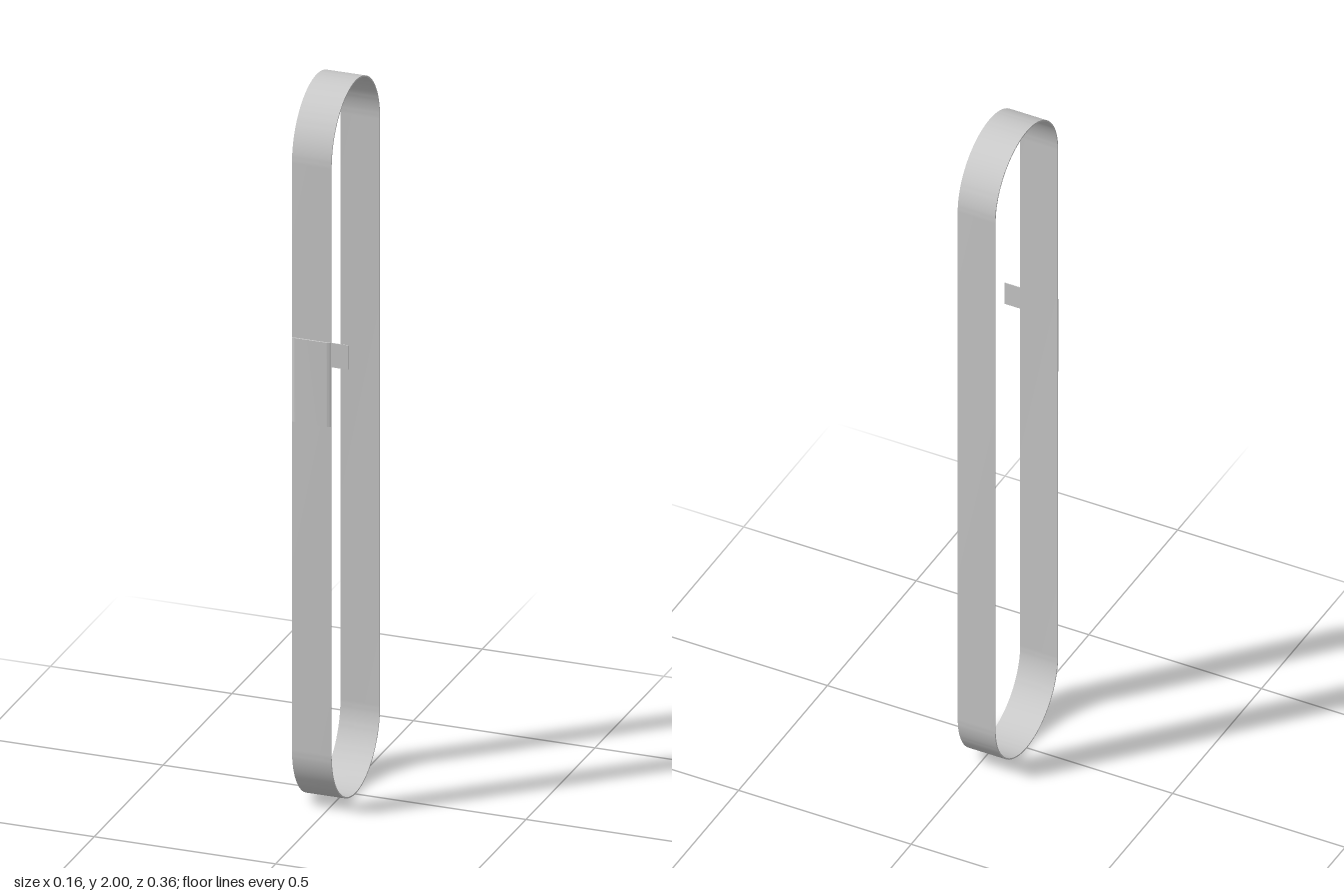
import * as THREE from 'three';
import { toCreasedNormals } from 'three/addons/utils/BufferGeometryUtils.js';

const LEFT = 0.03, WIDTH = 0.108, RADIUS = 0.178, BAND = 0.004;

// Upright stadium outline: two half circles joined by straight sides
function stadium(path, r) {
  path.absarc(0, 2 - RADIUS, r, 0, Math.PI, false);
  path.absarc(0, RADIUS, r, Math.PI, Math.PI * 2, false);
  path.closePath();
  return path;
}

export function createModel() {
  const group = new THREE.Group();
  const material = new THREE.MeshStandardMaterial({ color: 0xcccccc, side: THREE.DoubleSide });
  const add = (name, geometry) => {
    const mesh = new THREE.Mesh(geometry, material);
    mesh.name = name;
    group.add(mesh);
    return mesh;
  };

  // Thin closed band, extruded across its width
  const outline = stadium(new THREE.Shape(), RADIUS);
  outline.holes.push(stadium(new THREE.Path(), RADIUS - BAND));
  const band = new THREE.ExtrudeGeometry(outline, { depth: WIDTH, bevelEnabled: false, curveSegments: 32 });
  band.rotateY(-Math.PI / 2);
  band.translate(LEFT, 0, -0.002);
  add('bandLoop', toCreasedNormals(band, 0.6));

  // Overlapping end on the front, with softened side edges
  const right = LEFT - WIDTH, back = 0.175, front = 0.18, soft = 0.012;
  const section = new THREE.Shape();
  section.moveTo(right, -back);
  section.lineTo(LEFT, -back);
  section.lineTo(LEFT, -0.177);
  section.quadraticCurveTo(LEFT - 0.002, -front, LEFT - soft, -front);
  section.lineTo(right + soft, -front);
  section.quadraticCurveTo(right + 0.002, -front, right, -0.177);
  section.closePath();
  const flap = new THREE.ExtrudeGeometry(section, { depth: 0.235, bevelEnabled: false, curveSegments: 6 });
  flap.rotateX(-Math.PI / 2);
  flap.translate(0, 1.1, 0);
  add('overlapFlap', toCreasedNormals(flap, 0.6));

  // Small flat tab sticking out beside the overlap
  const tab = add('sideTab', new THREE.BoxGeometry(0.05, 0.068, 0.002));
  tab.position.set(0.052, 1.301, 0.1755);

  return group;
}
